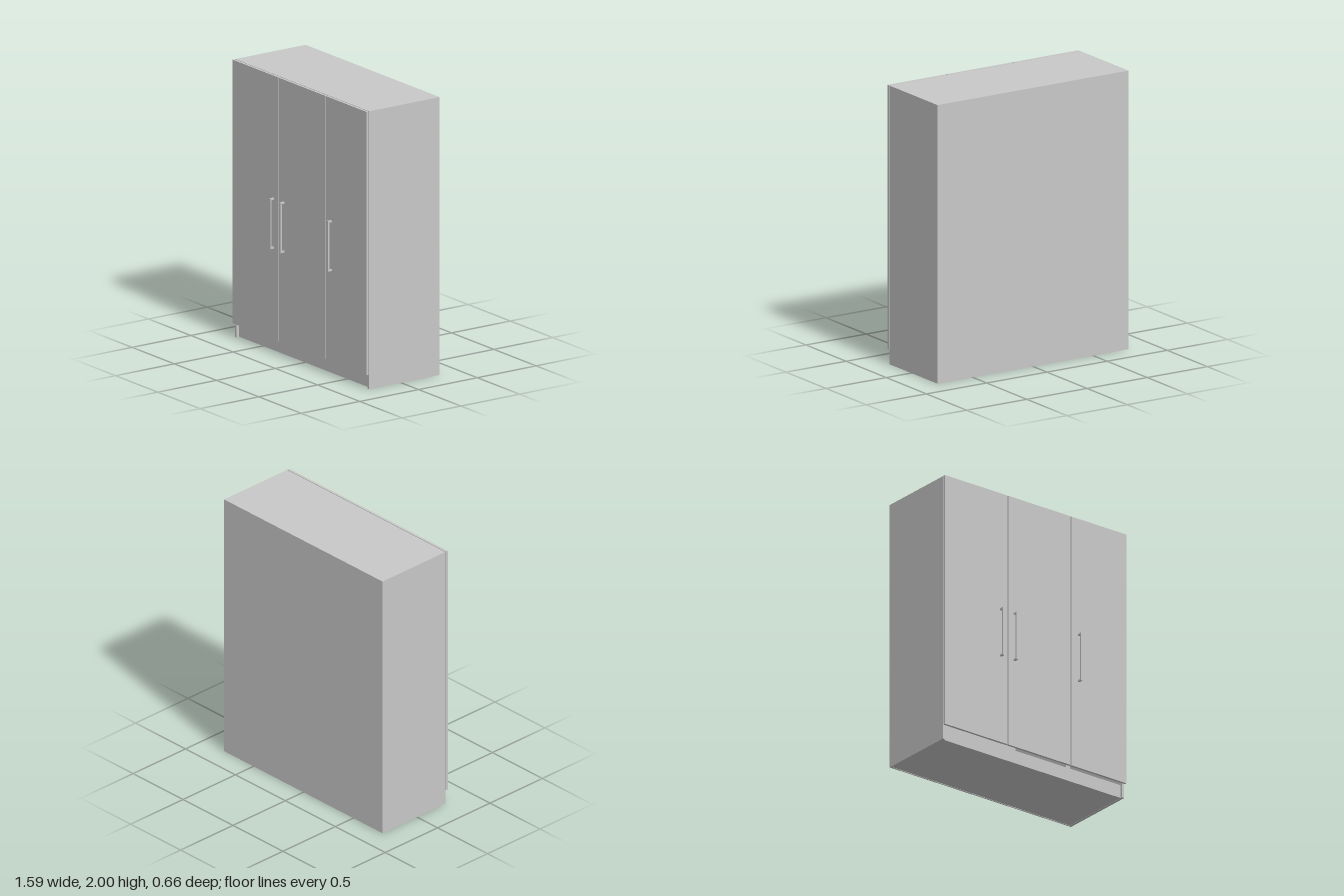
import * as THREE from 'three';

export function createModel() {
  const wardrobe = new THREE.Group();
  wardrobe.name = 'wardrobe';
  const grey = new THREE.MeshStandardMaterial({ color: 0xc8c8c8 });
  grey.name = 'light grey';

  // Box given by its lower and upper limits on each axis
  function panel(name, [x0, x1], [y0, y1], [z0, z1], parent = wardrobe) {
    const mesh = new THREE.Mesh(new THREE.BoxGeometry(x1 - x0, y1 - y0, z1 - z0), grey);
    mesh.position.set((x0 + x1) / 2, (y0 + y1) / 2, (z0 + z1) / 2);
    mesh.name = name;
    parent.add(mesh);
    return mesh;
  }

  const W = 0.793, T = 0.018, BACK = -0.328, FRONT = 0.272;
  const inner = W - T;

  // Carcass
  panel('rightSide', [-W, -inner], [0, 2], [BACK, FRONT]);
  panel('leftSide', [inner, W], [0, 2], [BACK, FRONT]);
  panel('topPanel', [-inner, inner], [2 - T, 2], [BACK, FRONT]);
  panel('backPanel', [-inner, inner], [0, 2 - T], [BACK, BACK + 0.01]);
  panel('plinth', [-inner, inner], [0.003, 0.1], [BACK + 0.01, 0.252]);

  // Interior divider, shelves and hanging rail
  panel('divider', [0.3, 0.318], [0.1, 2 - T], [BACK + 0.01, 0.25]);
  for (const y of [0.5, 1.66]) {
    panel('shelf', [-inner, 0.3], [y, y + T], [BACK + 0.01, 0.25]);
    panel('shelf', [0.318, inner], [y, y + T], [BACK + 0.01, 0.25]);
  }
  const rail = new THREE.Mesh(new THREE.CylinderGeometry(0.012, 0.012, inner + 0.3, 16), grey);
  rail.rotation.z = Math.PI / 2;
  rail.position.set((0.3 - inner) / 2, 1.58, -0.03);
  rail.name = 'hangingRail';
  wardrobe.add(rail);

  // Doors, each with a bracket handle
  const doors = [
    { name: 'rightDoor', x: [-W, -0.246], handle: -0.305 },
    { name: 'middleDoor', x: [-0.239, 0.306], handle: -0.185 },
    { name: 'leftDoor', x: [0.313, W], handle: 0.377 },
  ];
  for (const { name, x, handle } of doors) {
    const door = new THREE.Group();
    door.name = name;
    wardrobe.add(door);
    panel('doorPanel', x, [0.104, 2], [0.277, 0.295], door);
    const hx = [handle - 0.007, handle + 0.007];
    panel('handleBar', hx, [0.757, 1.121], [0.317, 0.328], door);
    for (const y of [0.757, 1.108]) panel('handleFoot', hx, [y, y + 0.013], [0.295, 0.317], door);
  }
  return wardrobe;
}
